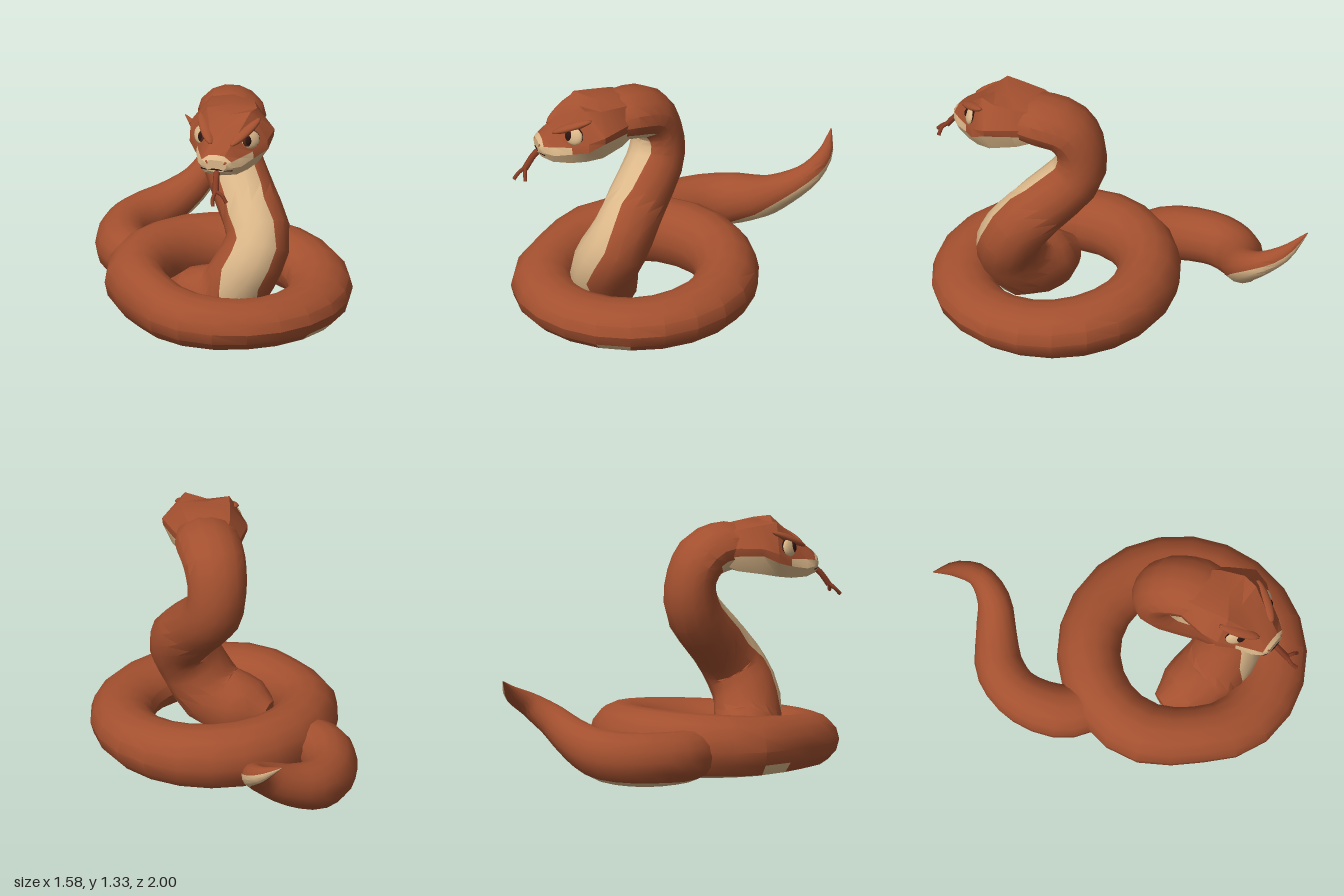
import * as THREE from 'three';
import { toCreasedNormals } from 'three/addons/utils/BufferGeometryUtils.js';

const mat = (name, color) => Object.assign(new THREE.MeshStandardMaterial({ color }), { name });
const V = (x, y, z) => new THREE.Vector3(x, y, z);
const SIDES = 14;

export function createModel() {
  const rust = mat('rust scales', 0xa3502f);
  const tan = mat('tan belly', 0xdcb88a);
  const dark = mat('dark brown', 0x2a1410);
  const iris = mat('iris brown', 0x4f2416);
  const tongueRed = mat('tongue red', 0x8b3e25);
  const model = new THREE.Group();

  const add = (name, geometry, material, parent = model) => {
    const mesh = new THREE.Mesh(geometry, material);
    mesh.name = name;
    parent.add(mesh);
    return mesh;
  };

  // Skin over rings of points; isTan(i, j) picks the colour of each panel
  function skin(name, rings, isTan, { closed = false, capTan = false, crease = 0.55 } = {}) {
    const lists = [[], []];
    const tri = (k, ...pts) => pts.forEach((p) => lists[k].push(p.x, p.y, p.z));
    const n = rings[0].length;
    for (let i = 0; i < rings.length - (closed ? 0 : 1); i++) {
      const a = rings[i], b = rings[(i + 1) % rings.length];
      for (let j = 0; j < n; j++) {
        const j2 = (j + 1) % n, k = isTan(i, j) ? 1 : 0;
        tri(k, a[j], a[j2], b[j2]);
        tri(k, a[j], b[j2], b[j]);
      }
    }
    if (!closed) {
      [rings[0], rings.at(-1)].forEach((r, end) => {
        const c = r.reduce((s, p) => s.add(p), V(0, 0, 0)).divideScalar(n);
        for (let j = 0; j < n; j++) {
          const p = r[j], q = r[(j + 1) % n];
          tri(capTan ? 1 : 0, c, end ? p : q, end ? q : p);
        }
      });
    }
    const g = new THREE.BufferGeometry();
    g.setAttribute('position', new THREE.Float32BufferAttribute([...lists[0], ...lists[1]], 3));
    g.addGroup(0, lists[0].length / 3, 0);
    g.addGroup(lists[0].length / 3, lists[1].length / 3, 1);
    return add(name, toCreasedNormals(g, crease), [rust, tan]);
  }

  // One body ring around a centre, flattened where it rests on the floor
  function bodyRing(c, tangent, belly, w, h) {
    const t = tangent.clone().normalize();
    const b = belly.clone().addScaledVector(t, -belly.dot(t)).normalize();
    const s = t.clone().cross(b);
    return Array.from({ length: SIDES }, (_, j) => {
      const a = ((j - 0.5) / SIDES) * Math.PI * 2;
      const p = c.clone().addScaledVector(b, Math.cos(a) * h).addScaledVector(s, Math.sin(a) * w);
      p.y = Math.max(0, p.y);
      return p;
    });
  }
  const bellyPanel = (j) => j <= 1 || j === SIDES - 1;

  // Stations: x, y, z, half width, half depth, belly direction x, y, z
  function sweep(stations, steps) {
    const curve = (pick) => new THREE.CatmullRomCurve3(stations.map(pick));
    const path = curve((s) => V(s[0], s[1], s[2]));
    const size = curve((s) => V(s[3], s[4], 0));
    const belly = curve((s) => V(s[5], s[6], s[7]));
    return Array.from({ length: steps + 1 }, (_, i) => {
      const t = i / steps, r = size.getPoint(t);
      return bodyRing(path.getPoint(t), path.getTangent(t), belly.getPoint(t), r.x, r.y);
    });
  }

  // Coil on the floor, taller toward the back left, slightly pressed in at the front
  const SEG = 22;
  const coil = Array.from({ length: SEG }, (_, i) => {
    const a = (i / SEG) * Math.PI * 2, x = Math.cos(a), z = Math.sin(a);
    const f = 0.5 - 0.5 * (x * 0.75 + z * 0.66);
    const dip = Math.exp(-(((a - 2.36) / 0.4) ** 2));
    const r = 0.515 - dip * 0.037;
    return bodyRing(V(0.097 + x * r, 0.104 + f * 0.064, 0.277 + z * r), V(-z, 0, x),
      V(0, -1, 0), 0.176 - dip * 0.02, 0.136 + f * 0.052);
  });
  const outerPatches = [1, 9], innerPatches = [6, 8, 9];
  skin('coil', coil, (i, j) => bellyPanel(j) || (j === 2 && outerPatches.includes(i))
    || (j === SIDES - 2 && innerPatches.includes(i)), { closed: true });

  // Neck rising from the middle of the coil; the tan widens under the head
  skin('neck', sweep([
    [-0.19, 0.08, 0.37, 0.08, 0.10, 0, -1, 0],
    [-0.05, 0.10, 0.42, 0.18, 0.18, 0, -1, 0],
    [0.13, 0.15, 0.46, 0.19, 0.19, 0.1, -1, 0.3],
    [0.26, 0.33, 0.48, 0.185, 0.185, 0, -0.1, 1],
    [0.31, 0.50, 0.41, 0.18, 0.175, 0.2, 0, 1],
    [0.20, 0.68, 0.28, 0.17, 0.165, 0.4, 0, 1],
    [0.08, 0.86, 0.15, 0.165, 0.155, 0.4, 0, 1],
    [0.06, 1.03, 0.14, 0.165, 0.135, 0.3, -0.1, 1],
    [0.09, 1.15, 0.21, 0.175, 0.14, 0.2, -0.6, 0.7],
    [0.15, 1.19, 0.34, 0.18, 0.137, 0, -1, 0.2],
    [0.19, 1.18, 0.46, 0.15, 0.11, 0, -1, 0],
  ], 24), (i, j) => bellyPanel(j) || (i >= 19 && (j === 2 || j === SIDES - 2)));

  // Tail curling out behind the coil to a raised tip
  skin('tail', sweep([
    [-0.42, 0.14, 0.10, 0.13, 0.13, 0, -1, 0],
    [-0.58, 0.14, -0.04, 0.15, 0.15, 0, -1, 0],
    [-0.65, 0.15, -0.27, 0.14, 0.15, 0, -1, 0],
    [-0.60, 0.17, -0.45, 0.135, 0.145, 0.1, -1, 0],
    [-0.47, 0.23, -0.58, 0.115, 0.12, 0.4, -1, 0],
    [-0.35, 0.325, -0.69, 0.092, 0.092, 0.7, -0.8, 0],
    [-0.312, 0.415, -0.82, 0.068, 0.068, 0.8, -0.7, 0],
    [-0.38, 0.49, -0.93, 0.045, 0.045, 0.8, -0.7, -0.2],
    [-0.50, 0.583, -0.998, 0.003, 0.003, 0.6, -0.7, -0.4],
  ], 22), (i, j) => bellyPanel(j));

  // Head sections: z, centre x, chin y, then jaw, lip, cheek, brow (x, y), crown y
  const headRings = [
    [0.25, 0.11, 1.1, 0.07, 1.11, 0.11, 1.14, 0.12, 1.19, 0.08, 1.26, 1.27],
    [0.40, 0.16, 1.055, 0.15, 1.07, 0.19, 1.16, 0.192, 1.205, 0.125, 1.3, 1.325],
    [0.53, 0.197, 1.03, 0.185, 1.05, 0.235, 1.16, 0.24, 1.2, 0.14, 1.315, 1.325],
    [0.62, 0.20, 1.01, 0.165, 1.03, 0.225, 1.115, 0.22, 1.165, 0.125, 1.325, 1.295],
    [0.70, 0.20, 1.0, 0.13, 1.015, 0.165, 1.085, 0.16, 1.125, 0.09, 1.25, 1.245],
    [0.79, 0.195, 1.0, 0.095, 1.015, 0.125, 1.065, 0.115, 1.115, 0.06, 1.175, 1.18],
    [0.84, 0.19, 1.02, 0.06, 1.03, 0.09, 1.07, 0.085, 1.105, 0.045, 1.135, 1.14],
    [0.86, 0.19, 1.045, 0.04, 1.05, 0.06, 1.075, 0.06, 1.095, 0.035, 1.115, 1.115],
  ].map(([z, cx, chin, ...rest]) => {
    const side = [0, 2, 4, 6].map((k) => [rest[k], rest[k + 1]]);
    return [V(cx, chin, z), ...side.map(([x, y]) => V(cx + x, y, z)), V(cx, rest[8], z),
      ...side.reverse().map(([x, y]) => V(cx - x, y, z))];
  });
  skin('head', headRings, (i, j) => {
    const strip = Math.min(j, 9 - j);
    return strip < 2 || (strip === 2 && i >= 4) || i === 6;
  }, { capTan: true, crease: 0.5 });

  const tube = (pts, r, sides = 6) => new THREE.TubeGeometry(
    new THREE.CatmullRomCurve3(pts.map((p) => V(...p))), 8, r, sides, false);
  const ball = new THREE.SphereGeometry(1, 14, 10);

  // Eyes, brow ridges and nostrils, mirrored
  for (const s of [1, -1]) {
    const eye = new THREE.Group();
    eye.name = s > 0 ? 'leftEye' : 'rightEye';
    eye.position.set(0.2 + s * 0.136, 1.186, 0.685);
    eye.lookAt(eye.position.clone().add(V(s * 0.65, 0.25, 0.75)));
    model.add(eye);
    const layer = (name, m, x, z, ...scale) => {
      const part = add(name, ball, m, eye);
      part.position.set(x, 0, z);
      part.scale.set(...scale);
    };
    layer('eyeRim', dark, 0, 0, 0.064, 0.056, 0.016);
    layer('eyeball', tan, s * 0.003, 0.004, 0.058, 0.051, 0.023);
    layer('iris', iris, -s * 0.018, 0.01, 0.032, 0.037, 0.02);
    layer('pupil', dark, -s * 0.019, 0.015, 0.023, 0.028, 0.019);

    // Brow slanting down to the nose
    const outer = V(0.2 + s * 0.172, 1.282, 0.59), inner = V(0.2 + s * 0.055, 1.178, 0.79);
    const brow = add('brow', ball, rust);
    brow.position.copy(outer).lerp(inner, 0.5);
    brow.lookAt(inner);
    brow.scale.set(0.034, 0.022, outer.distanceTo(inner) / 2);

    const nostril = add('nostril', ball, rust);
    nostril.position.set(0.19 + s * 0.05, 1.098, 0.853);
    nostril.scale.set(0.013, 0.012, 0.008);
  }

  // Mouth line
  add('mouthLine', tube([[0.1, 1.052, 0.832], [0.135, 1.056, 0.853], [0.19, 1.062, 0.861],
    [0.245, 1.056, 0.853], [0.28, 1.052, 0.832]], 0.004, 4), dark);

  // Forked tongue
  add('tongue', tube([[0.195, 1.055, 0.84], [0.2, 1.02, 0.88], [0.21, 0.95, 0.93]], 0.018), tongueRed);
  add('tongueFork', tube([[0.21, 0.96, 0.925], [0.202, 0.925, 0.965], [0.212, 0.893, 0.995]], 0.011, 5), tongueRed);
  add('tongueFork', tube([[0.21, 0.96, 0.925], [0.25, 0.945, 0.94], [0.277, 0.905, 0.945]], 0.011, 5), tongueRed);

  return model;
}
